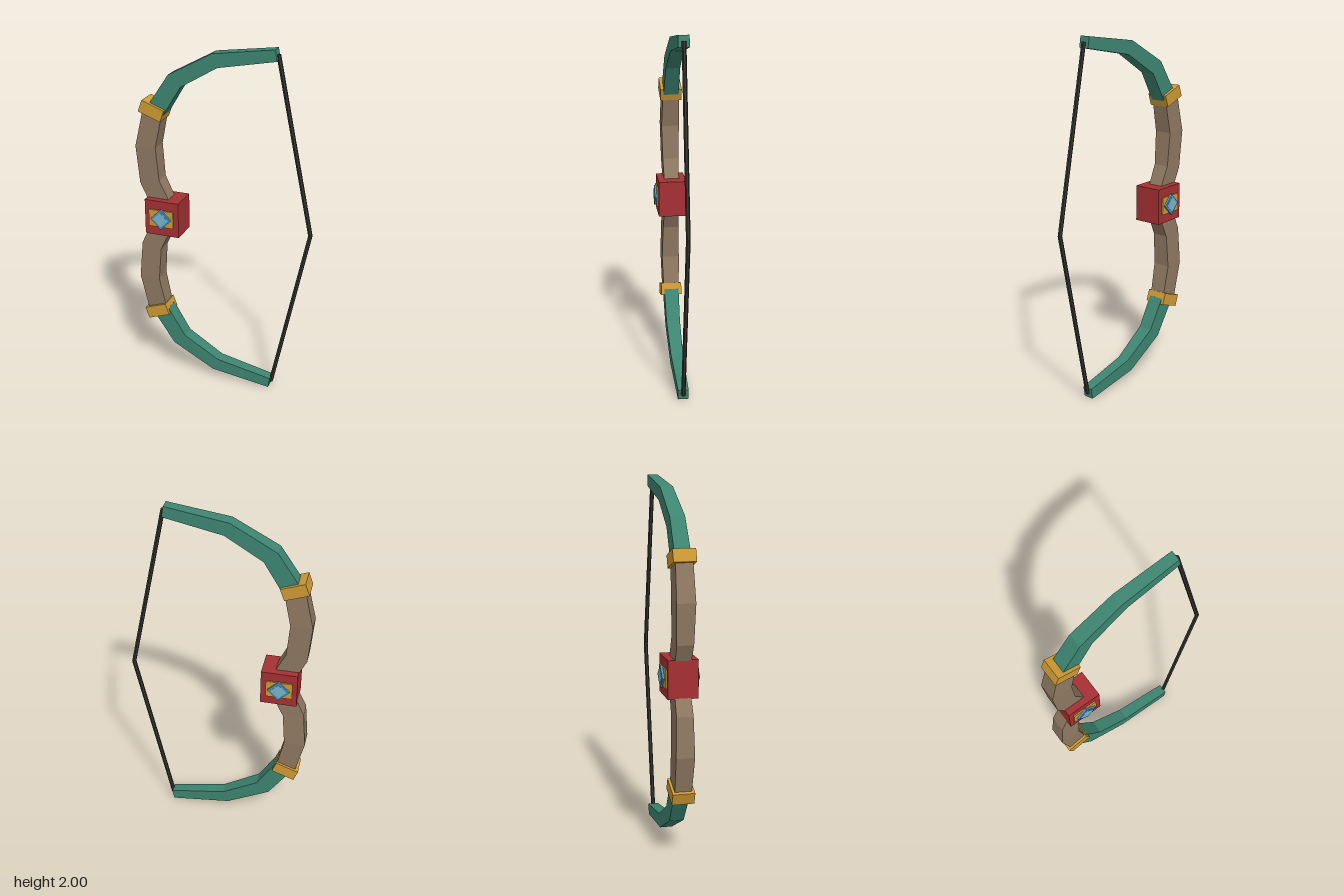
import * as THREE from 'three';

const material = (name, color) => {
  const m = new THREE.MeshStandardMaterial({ color });
  m.name = name;
  return m;
};

// Rectangular beam through sections [outerX, outerY, innerX, innerY, halfDepth], running upwards
function beam(sections) {
  const rings = sections.map(([ox, oy, ix, iy, d]) => [[ox, oy, d], [ix, iy, d], [ix, iy, -d], [ox, oy, -d]]);
  const pos = [];
  const quad = (a, b, c, d) => pos.push(...a, ...b, ...c, ...a, ...c, ...d);
  for (let i = 0; i < rings.length - 1; i++) {
    const r = rings[i], s = rings[i + 1];
    for (let j = 0; j < 4; j++) {
      const k = (j + 1) % 4;
      quad(r[j], r[k], s[k], s[j]);
    }
  }
  const [a, b, c, d] = rings[0];
  quad(d, c, b, a);
  quad(...rings[rings.length - 1]);
  const g = new THREE.BufferGeometry();
  g.setAttribute('position', new THREE.Float32BufferAttribute(pos, 3));
  g.computeVertexNormals();
  return g;
}

// Mirror sections about the grip height y = 1
const flip = (sections) => sections.map(([ox, oy, ix, iy, d]) => [ox, 2 - oy, ix, 2 - iy, d]).reverse();

export function createModel() {
  const group = new THREE.Group();
  group.name = 'bow';
  const wood = material('wood', 0x8f7962);
  const teal = material('teal', 0x3d8571);
  const gold = material('gold', 0xcf9a34);
  const red = material('red', 0xa63034);
  const dark = material('string', 0x34332f);
  const blue = material('blue', 0x479bd0);
  const pale = material('paleBlue', 0x7ab4cb);

  const add = (name, geometry, mat, x = 0, y = 0, z = 0, rot = 0) => {
    const m = new THREE.Mesh(geometry, mat);
    m.name = name;
    m.position.set(x, y, z);
    m.rotation.z = rot;
    group.add(m);
    return m;
  };
  const box = (w, h, d) => new THREE.BoxGeometry(w, h, d);

  const riser = [
    [-0.40, 1.00, -0.27, 1.00, 0.04],
    [-0.485, 1.185, -0.37, 1.21, 0.045],
    [-0.503, 1.40, -0.385, 1.40, 0.05],
    [-0.45, 1.63, -0.345, 1.59, 0.045],
  ];
  const limb = [
    [-0.435, 1.62, -0.335, 1.59, 0.043],
    [-0.305, 1.815, -0.235, 1.755, 0.04],
    [-0.06, 1.95, -0.03, 1.878, 0.035],
    [0.278, 2.0, 0.288, 1.94, 0.029],
  ];

  // Both halves of the bow
  for (const side of [1, -1]) {
    const label = side > 0 ? 'upper' : 'lower';
    add(label + 'Riser', beam(side > 0 ? riser : flip(riser)), wood);
    add(label + 'Limb', beam(side > 0 ? limb : flip(limb)), teal);
    add(label + 'Band', box(0.136, 0.069, 0.12), gold, -0.4, 1 + side * 0.612, 0, -side * 0.35);

    // Drawn string, from limb tip to nocking point
    const tip = new THREE.Vector2(0.287, 0.97), nock = new THREE.Vector2(0.488, 0);
    const dir = nock.clone().sub(tip);
    const mid = tip.clone().add(nock).multiplyScalar(0.5);
    const string = new THREE.CylinderGeometry(0.012, 0.012, dir.length() + 0.002, 6).toNonIndexed();
    string.computeVertexNormals();
    add(label + 'String', string, dark, mid.x, 1 + side * mid.y, 0, side * Math.atan2(dir.x, -dir.y));
  }

  // Grip block with a mounted gem on front and back
  add('gripBlock', box(0.2, 0.205, 0.16), red, -0.345, 1.0, 0);
  for (const s of [1, -1]) {
    const label = s > 0 ? 'front' : 'back';
    add(label + 'GemPlate', box(0.145, 0.1, 0.008), gold, -0.347, 1.0, s * 0.084);
    add(label + 'Gem', box(0.085, 0.085, 0.014), blue, -0.345, 1.0, s * 0.092, Math.PI / 4);
    add(label + 'GemFace', box(0.062, 0.062, 0.002), pale, -0.345, 1.0, s * 0.0995, Math.PI / 4);
  }
  return group;
}
